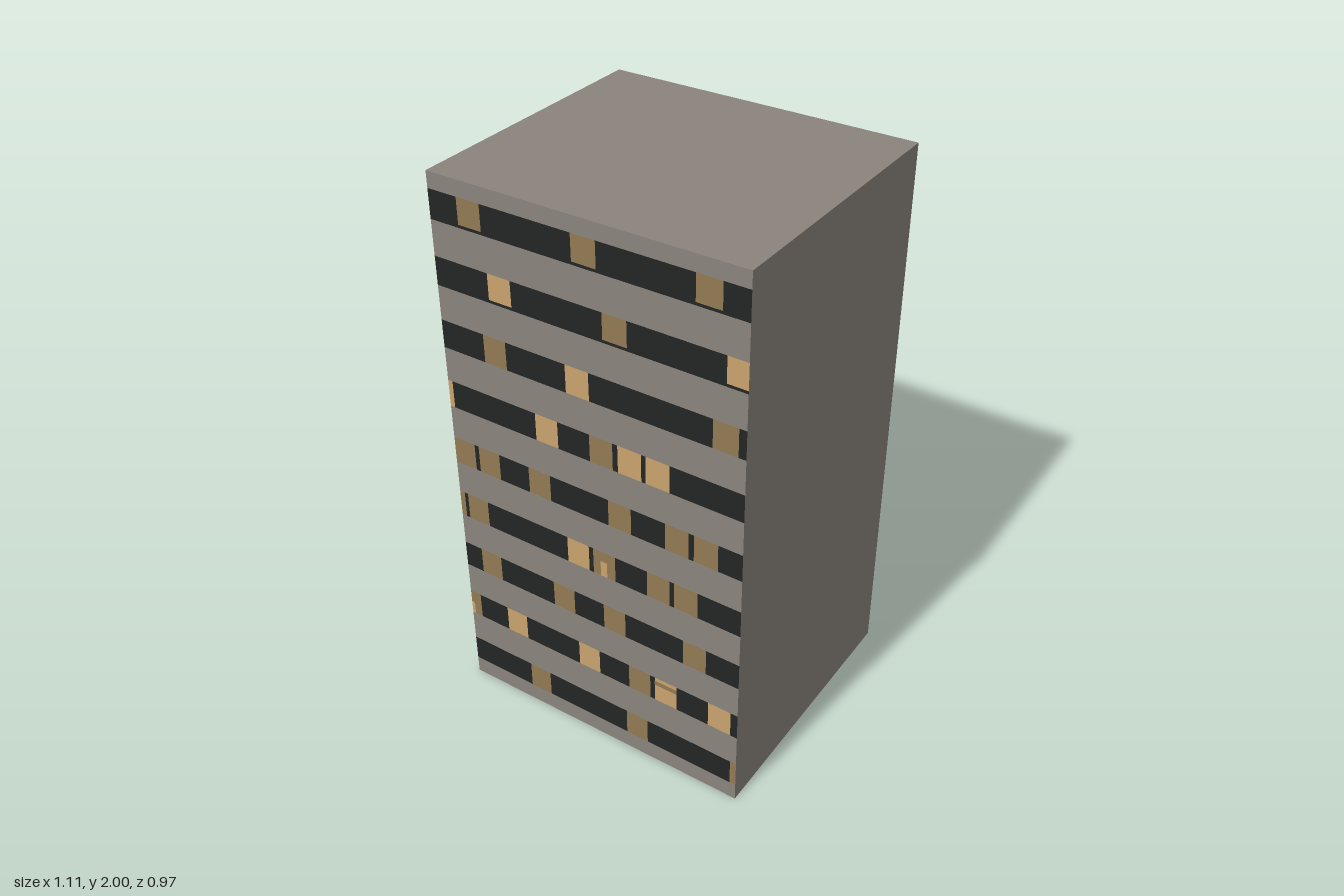
import * as THREE from 'three';
import { mergeGeometries } from 'three/addons/utils/BufferGeometryUtils.js';

const HW = 0.555, H = 2, HD = 0.486;          // half width, height, half depth
const FLOORS = 9, PITCH = H / FLOORS, BAND_Y = 0.066, BAND_H = 0.1;
const WIN_W = 0.086;

const material = (name, color) => {
  const m = new THREE.MeshStandardMaterial({ color, side: THREE.DoubleSide });
  m.name = name;
  return m;
};

// Window left edges per floor, from the ground up; edges are clipped at the wall.
const DIM = [
  [-0.3, 0.116, 0.532],
  [-0.597, 0.13],
  [-0.484, -0.172, 0.034, 0.346],
  [-0.621, -0.521, 0, 0.209, 0.312],
  [-0.555, -0.452, -0.246, 0.066, 0.278, 0.383],
  [0.003],
  [-0.389, 0.443],
  [0.066],
  [-0.447, -0.034, 0.382],
];
const LIT = [
  [],
  [-0.389, -0.077, 0.235, 0.443],
  [],
  [-0.103],
  [],
  [-0.623, -0.204, 0.108, 0.21],
  [-0.077],
  [-0.352, 0.485],
  [],
];

// Upright rectangle in the facade plane
function pane(x0, x1, y0, y1, z = HD) {
  return new THREE.PlaneGeometry(x1 - x0, y1 - y0).translate((x0 + x1) / 2, (y0 + y1) / 2, z);
}

export function createModel() {
  const group = new THREE.Group();
  group.name = 'officeBuilding';
  const concrete = material('concrete', 0x8a847c);
  const darkGlass = material('darkGlass', 0x232524);
  const dimLight = material('dimLight', 0x927a54);
  const brightLight = material('brightLight', 0xc9a46f);

  const add = (name, geometries, mat) => {
    const mesh = new THREE.Mesh(mergeGeometries(geometries), mat);
    mesh.name = name;
    group.add(mesh);
  };

  // Plain walls and roof; the underside stays open
  const side = () => new THREE.PlaneGeometry(2 * HD, H);
  add('sideWalls', [
    side().rotateY(Math.PI / 2).translate(HW, H / 2, 0),
    side().rotateY(-Math.PI / 2).translate(-HW, H / 2, 0),
  ], concrete);
  add('backWall', [new THREE.PlaneGeometry(2 * HW, H).rotateY(Math.PI).translate(0, H / 2, -HD)], concrete);
  add('roof', [new THREE.PlaneGeometry(2 * HW, 2 * HD).rotateX(-Math.PI / 2).translate(0, H, 0)], concrete);

  // Facade: concrete strips, with each glass band tiled edge to edge
  const strips = [], glass = [], dim = [], lit = [];
  let stripStart = 0;
  for (let i = 0; i < FLOORS; i++) {
    const y0 = BAND_Y + i * PITCH, y1 = y0 + BAND_H;
    strips.push(pane(-HW, HW, stripStart, y0));
    stripStart = y1;

    const sill = i >= 7 ? 0.01 : 0;           // top floors have a dark sill
    const windows = [
      ...DIM[i].map((x) => ({ x, list: dim })),
      ...LIT[i].map((x) => ({ x, list: lit })),
    ].sort((a, b) => a.x - b.x);
    let x = -HW;
    for (const w of windows) {
      const x0 = Math.max(w.x, -HW), x1 = Math.min(w.x + WIN_W, HW);
      if (x0 - x > 0.001) glass.push(pane(x, x0, y0, y1));
      w.list.push(pane(x0, x1, y0 + sill, y1));
      if (sill) glass.push(pane(x0, x1, y0, y0 + sill));
      x = x1;
    }
    if (HW - x > 0.001) glass.push(pane(x, HW, y0, y1));
  }
  strips.push(pane(-HW, HW, stripStart, H));
  add('facadeStrips', strips, concrete);
  add('glassBands', glass, darkGlass);
  add('dimWindows', dim, dimLight);
  add('litWindows', lit, brightLight);

  // Small details in a few windows, on both faces of the facade
  const lamps = [], blinds = [];
  for (const z of [HD + 0.002, HD - 0.002]) {
    lamps.push(pane(0.03, 0.055, 0.735, 0.795, z), pane(-0.553, -0.54, 0.29, 0.34, z));
    blinds.push(pane(0.235, 0.321, 0.358, 0.376, z));
  }
  add('windowLamps', lamps, brightLight);
  add('windowBlind', blinds, dimLight);

  return group;
}
